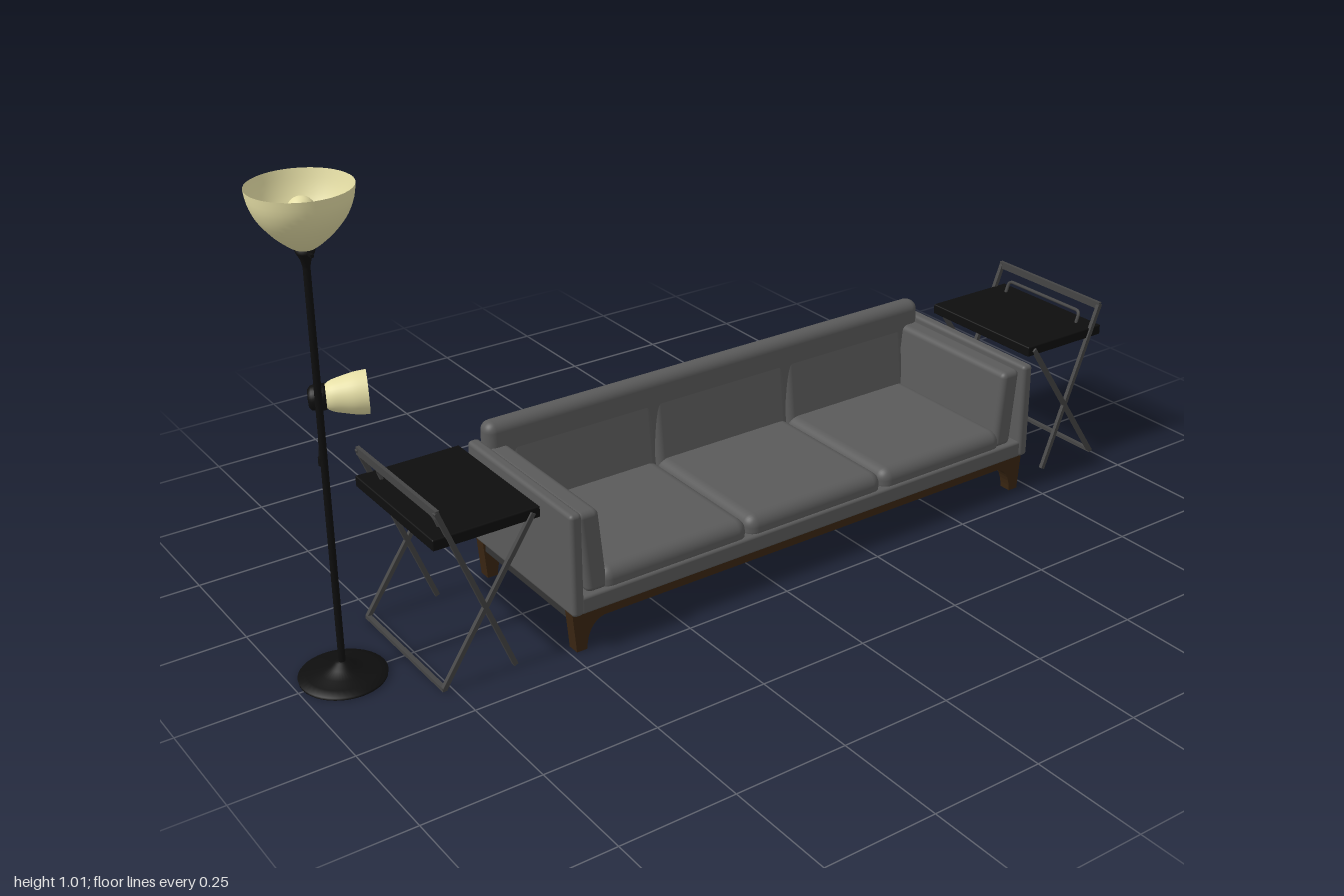
import * as THREE from 'three';
import { RoundedBoxGeometry } from 'three/addons/geometries/RoundedBoxGeometry.js';

const V = (x, y, z) => new THREE.Vector3(x, y, z);
const mat = (color, side = THREE.FrontSide) => new THREE.MeshStandardMaterial({ color, side });
const fabric = mat(0x5a5a5a), underside = mat(0x333333), wood = mat(0x3a2612);
const black = mat(0x0e0e0e), steel = mat(0x444444), cream = mat(0xe6dfa6, THREE.DoubleSide);

function add(parent, name, geometry, material) {
  const mesh = new THREE.Mesh(geometry, material);
  mesh.name = name;
  parent.add(mesh);
  return mesh;
}

// Rounded block given by its limits, optionally leaning in x or z with height
function block(parent, name, x, y, z, r, material, leanX = 0, leanZ = 0) {
  const g = new RoundedBoxGeometry(x[1] - x[0], y[1] - y[0], z[1] - z[0], 4, r);
  g.applyMatrix4(new THREE.Matrix4().set(1, leanX, 0, 0, 0, 1, 0, 0, 0, leanZ, 1, 0, 0, 0, 0, 1));
  const mesh = add(parent, name, g, material);
  mesh.position.set((x[0] + x[1]) / 2, (y[0] + y[1]) / 2, (z[0] + z[1]) / 2);
  return mesh;
}

// Straight rectangular bar between two points
function bar(parent, name, a, b, w, h, material) {
  const mesh = add(parent, name, new THREE.BoxGeometry(w, h, a.distanceTo(b)), material);
  mesh.position.copy(a).add(b).multiplyScalar(0.5);
  mesh.lookAt(b);
  return mesh;
}

const lathe = (points, n = 40) =>
  new THREE.LatheGeometry(points.map(([r, y]) => new THREE.Vector2(r, y)), n);

const smoothProfile = (points, n = 16) =>
  new THREE.SplineCurve(points.map(([r, y]) => new THREE.Vector2(r, y))).getPoints(n).map(p => [p.x, p.y]);

function createSofa() {
  const sofa = new THREE.Group();
  sofa.name = 'sofa';
  const mid = -0.118;

  // Wooden rails, each with two bracket legs
  const half = 0.612;
  const s = new THREE.Shape();
  s.moveTo(-half, 0.09);
  s.lineTo(-half + 0.008, 0);
  s.lineTo(-half + 0.032, 0);
  s.quadraticCurveTo(-half + 0.036, 0.058, -half + 0.075, 0.065);
  s.lineTo(half - 0.075, 0.065);
  s.quadraticCurveTo(half - 0.036, 0.058, half - 0.032, 0);
  s.lineTo(half - 0.008, 0);
  s.lineTo(half, 0.09);
  for (const [name, x] of [['frontRail', 0.164], ['backRail', -0.196]]) {
    const g = new THREE.ExtrudeGeometry(s, { depth: 0.028, bevelEnabled: false, curveSegments: 8 });
    g.rotateY(Math.PI / 2);
    add(sofa, name, g, wood).position.set(x, 0, mid);
  }

  // Base
  block(sofa, 'bottomPanel', [-0.168, 0.168], [0.065, 0.1], [-0.725, 0.49], 0.004, underside);
  block(sofa, 'seatBase', [-0.2, 0.203], [0.088, 0.127], [-0.715, 0.478], 0.006, fabric);

  // Outer arms with leaning inner pads
  for (const side of [-1, 1]) {
    const zs = (a, b) => side > 0 ? [mid + a, mid + b] : [mid - b, mid - a];
    block(sofa, 'arm', [-0.206, 0.206], [0.088, 0.317], zs(0.59, 0.617), 0.009, fabric);
    block(sofa, 'armPad', [-0.18, 0.192], [0.122, 0.306], zs(0.533, 0.583), 0.013, fabric, 0, side * 0.1);
  }

  // Back rest and three back cushions
  block(sofa, 'back', [-0.206, -0.157], [0.088, 0.36], [-0.71, 0.474], 0.022, fabric);
  const cuts = [-0.66, -0.305, 0.06, 0.424];
  for (let i = 0; i < 3; i++) {
    const z = [cuts[i], cuts[i + 1]];
    block(sofa, 'backCushion', [-0.19, -0.15], [0.13, 0.342], z, 0.018, fabric, -0.12);
    block(sofa, 'seatCushion', [-0.165, 0.197], [0.105, 0.166], z, 0.026, fabric);
  }
  return sofa;
}

function createTrayTable() {
  const table = new THREE.Group();
  table.name = 'trayTable';
  block(table, 'tray', [-0.163, 0.163], [0.31, 0.334], [-0.117, 0.117], 0.003, black);

  // Crossed leg frames
  for (const x of [-0.163, 0.163]) {
    bar(table, 'handleLeg', V(x, 0.39, 0.107), V(x, 0.003, -0.046), 0.009, 0.01, steel);
    bar(table, 'footLeg', V(x, 0.325, -0.1), V(x, 0.006, 0.113), 0.009, 0.01, steel);
  }
  bar(table, 'handleBar', V(-0.167, 0.386, 0.105), V(0.167, 0.386, 0.105), 0.008, 0.017, steel);
  bar(table, 'footBar', V(-0.167, 0.006, 0.113), V(0.167, 0.006, 0.113), 0.01, 0.008, steel);

  // Small bent rail at the back edge of the tray
  const path = new THREE.CurvePath();
  const p = [V(-0.119, 0.305, 0.07), V(-0.119, 0.347, 0.085), V(-0.107, 0.36, 0.09),
    V(0.107, 0.36, 0.09), V(0.119, 0.347, 0.085), V(0.119, 0.305, 0.07)];
  path.add(new THREE.LineCurve3(p[0], p[1]));
  path.add(new THREE.QuadraticBezierCurve3(p[1], V(-0.119, 0.36, 0.09), p[2]));
  path.add(new THREE.LineCurve3(p[2], p[3]));
  path.add(new THREE.QuadraticBezierCurve3(p[3], V(0.119, 0.36, 0.09), p[4]));
  path.add(new THREE.LineCurve3(p[4], p[5]));
  add(table, 'trayRail', new THREE.TubeGeometry(path, 80, 0.004, 8), steel);
  return table;
}

function createLamp() {
  const lamp = new THREE.Group();
  lamp.name = 'floorLamp';

  // Base, pole and neck
  add(lamp, 'base', lathe([[0, 0], [0.087, 0], [0.088, 0.006], [0.07, 0.011], [0.045, 0.016],
    [0.024, 0.024], [0.013, 0.034], [0, 0.036]]), black);
  const pole = add(lamp, 'pole', new THREE.CylinderGeometry(0.007, 0.007, 0.86, 20), black);
  pole.position.y = 0.46;
  add(lamp, 'neck', lathe([[0.007, 0.86], [0.01, 0.875], [0.017, 0.888], [0.021, 0.9], [0, 0.9]]), black);
  bar(lamp, 'switchKnob', V(0.01, 0.89, 0), V(0.03, 0.89, 0), 0.006, 0.006, black);

  // Upper bowl, with a wall that has thickness
  add(lamp, 'bowlShade', lathe(smoothProfile([[0.018, 0.896], [0.034, 0.907], [0.058, 0.929],
    [0.08, 0.957], [0.093, 0.986], [0.098, 1.015]])), cream);
  add(lamp, 'bowlLining', lathe(smoothProfile([[0, 0.903], [0.033, 0.911], [0.056, 0.932],
    [0.077, 0.959], [0.09, 0.987], [0.098, 1.015]])), cream);
  add(lamp, 'bulb', new THREE.SphereGeometry(0.026, 24, 16), cream).position.y = 0.968;
  add(lamp, 'bulbStem', new THREE.CylinderGeometry(0.013, 0.013, 0.05, 16), cream).position.y = 0.927;

  // Curved arm of the reading light
  const arm = new THREE.CatmullRomCurve3([V(0, 0.47, 0), V(-0.014, 0.47, 0), V(-0.02, 0.492, -0.004),
    V(-0.034, 0.526, -0.012), V(-0.055, 0.55, -0.025), V(-0.074, 0.56, -0.035)]);
  add(lamp, 'readingArm', new THREE.TubeGeometry(arm, 30, 0.004, 8), black);
  const joint = add(lamp, 'armJoint', new THREE.CylinderGeometry(0.009, 0.009, 0.016, 16), black);
  joint.position.set(-0.005, 0.47, 0);

  // Reading light, built along y and turned to its aim
  const light = new THREE.Group();
  light.name = 'readingLight';
  add(light, 'socket', lathe([[0, 0], [0.017, 0.001], [0.024, 0.007], [0.026, 0.02], [0.026, 0.034], [0, 0.036]], 28), black);
  add(light, 'readingShade', lathe(smoothProfile([[0.022, 0.032], [0.03, 0.045], [0.036, 0.067],
    [0.041, 0.09], [0.043, 0.113]]), 32), cream);
  add(light, 'readingBulb', new THREE.SphereGeometry(0.021, 20, 14), cream).position.y = 0.072;
  light.position.set(-0.08, 0.567, -0.012);
  light.quaternion.setFromUnitVectors(V(0, 1, 0), V(0.38, 0.02, -0.925).normalize());
  lamp.add(light);
  return lamp;
}

export function createModel() {
  const model = new THREE.Group();
  model.name = 'livingRoomSet';
  const nearTable = createTrayTable();
  nearTable.position.set(-0.004, 0, 0.655);
  const farTable = createTrayTable();
  farTable.position.set(-0.004, 0, -0.882);
  farTable.rotation.y = Math.PI;
  const lamp = createLamp();
  lamp.position.set(-0.006, 0, 0.902);
  model.add(createSofa(), nearTable, farTable, lamp);
  return model;
}
